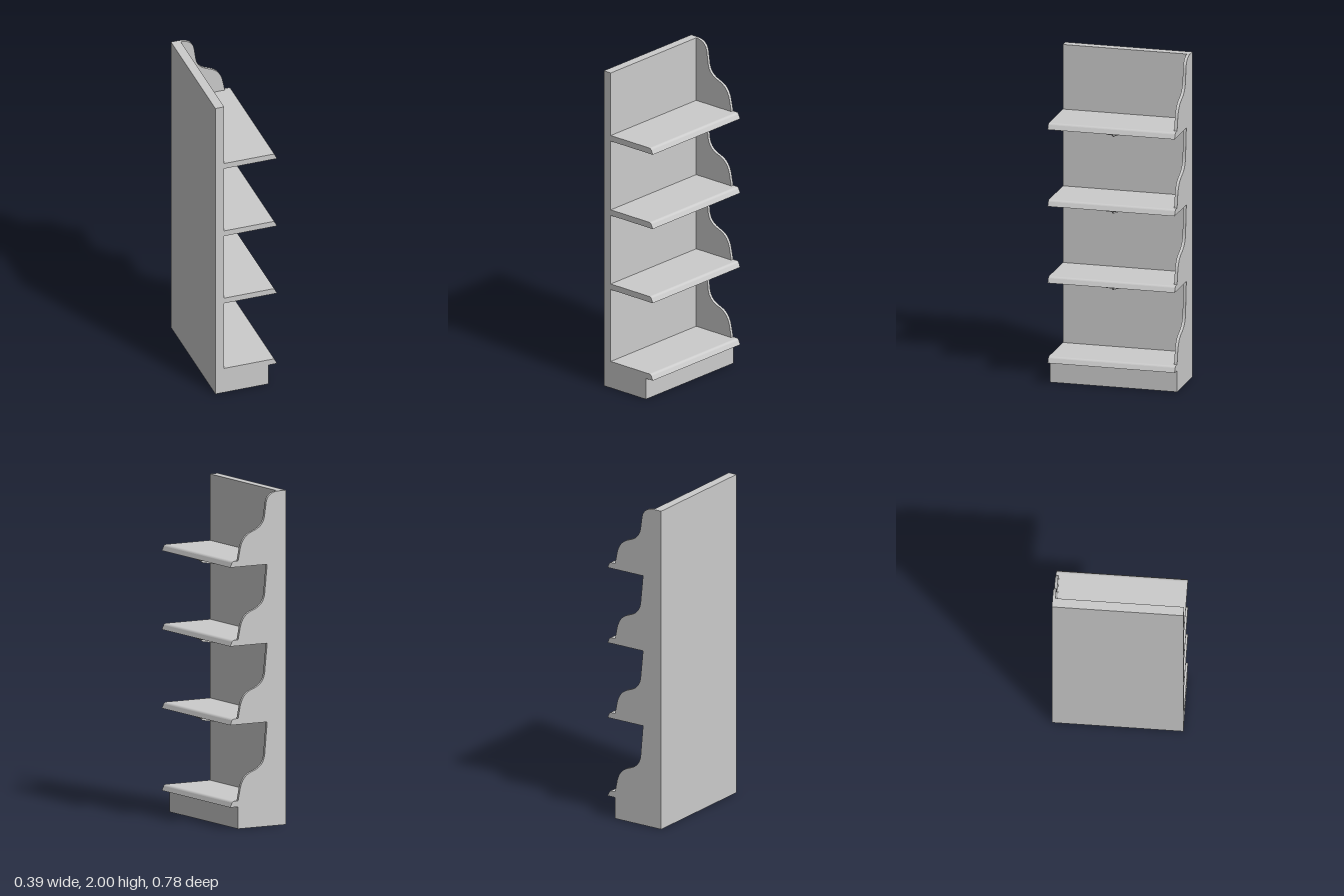
import * as THREE from 'three';

const HALF = 0.39; // half of the unit's width along z
const material = new THREE.MeshStandardMaterial({ color: 0xcccccc });

// Extrudes an x-y outline from z0 to z1
function slab(name, shape, z0, z1) {
  const geometry = new THREE.ExtrudeGeometry(shape, { depth: z1 - z0, bevelEnabled: false, curveSegments: 10 });
  geometry.translate(0, 0, z0);
  const mesh = new THREE.Mesh(geometry, material);
  mesh.name = name;
  return mesh;
}

function box(name, x0, x1, y0, y1, z0, z1) {
  const mesh = new THREE.Mesh(new THREE.BoxGeometry(x1 - x0, y1 - y0, z1 - z0), material);
  mesh.position.set((x0 + x1) / 2, (y0 + y1) / 2, (z0 + z1) / 2);
  mesh.name = name;
  return mesh;
}

// Shelf board with a rounded front lip; y is the top surface
function shelfShape(y) {
  const s = new THREE.Shape();
  s.moveTo(-0.14, y - 0.036);
  s.lineTo(0.192, y - 0.036);
  s.lineTo(0.18, y - 0.01);
  s.quadraticCurveTo(0.174, y, 0.162, y);
  s.lineTo(-0.14, y);
  return s;
}

// Scalloped side panel standing on a shelf at y and rising to yTop
function sideShape(y, yTop, crowned) {
  const s = new THREE.Shape();
  s.moveTo(-0.14, y);
  s.lineTo(0.137, y);
  s.lineTo(0.122, y + 0.075);
  s.bezierCurveTo(0.108, y + 0.13, 0.08, y + 0.155, 0.035, y + 0.17);
  s.bezierCurveTo(-0.02, y + 0.188, -0.042, y + 0.22, -0.047, y + 0.265);
  if (crowned) {
    s.lineTo(-0.057, y + 0.335);
    s.bezierCurveTo(-0.066, y + 0.38, -0.1, yTop, -0.145, yTop);
  } else {
    s.lineTo(-0.064, yTop);
  }
  s.lineTo(-0.14, yTop);
  return s;
}

// Tapered web of the bracket below a shelf whose underside is at y
function webShape(y) {
  const s = new THREE.Shape();
  s.moveTo(-0.14, y - 0.068);
  s.lineTo(0.146, y - 0.026);
  s.lineTo(0.17, y - 0.008);
  s.lineTo(-0.14, y - 0.008);
  return s;
}

export function createModel() {
  const group = new THREE.Group();
  group.name = 'shelvingUnit';

  group.add(box('backPanel', -0.195, -0.14, 0, 2, -HALF, HALF));
  group.add(box('plinth', -0.14, 0.138, 0, 0.132, -HALF, HALF));

  const tops = [0.168, 0.66, 1.131, 1.603];
  tops.forEach((y, i) => {
    const last = i === tops.length - 1;
    group.add(slab('shelf', shelfShape(y), -HALF, HALF));
    const yTop = last ? 2 : tops[i + 1] - 0.036;
    group.add(slab('sidePanel', sideShape(y, yTop, last), -HALF, -0.372));

    // T-shaped bracket under each raised shelf
    if (i > 0) {
      const under = y - 0.036;
      const bracket = new THREE.Group();
      bracket.name = 'shelfBracket';
      bracket.add(box('bracketFlange', -0.14, 0.17, under - 0.009, under, -0.037, 0.037));
      bracket.add(slab('bracketWeb', webShape(under), -0.004, 0.004));
      group.add(bracket);
    }
  });
  return group;
}
